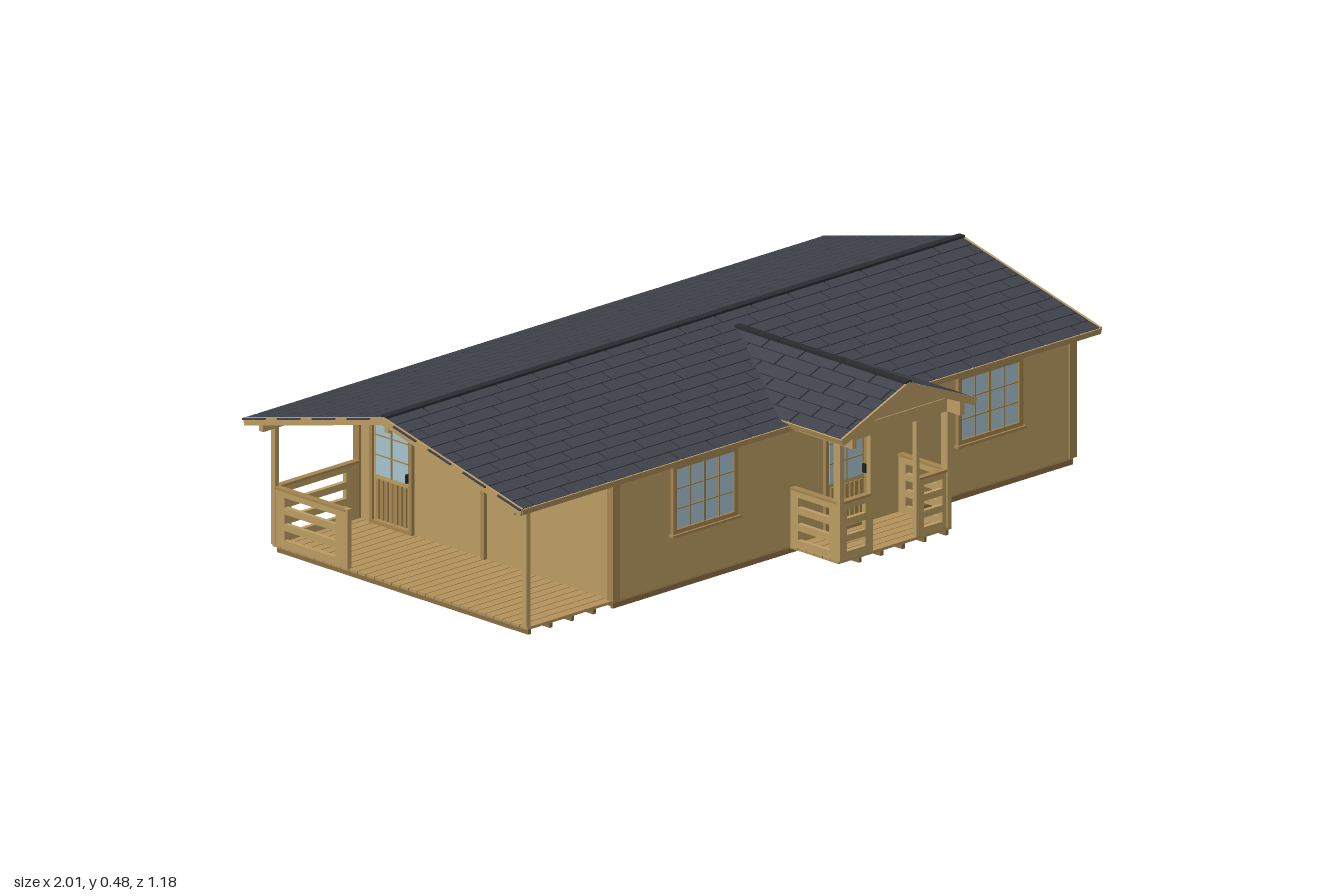
import * as THREE from 'three';
import { mergeGeometries } from 'three/addons/utils/BufferGeometryUtils.js';

const mat = (color) => new THREE.MeshStandardMaterial({ color });
const WOOD = mat(0xbd9e64), TRIM = mat(0xa5864f), DECK = mat(0xb5945c), JOIST = mat(0x8a6f42);
const TILE = mat(0x3f424a), UNDER = mat(0x2a2c31), GLASS = mat(0xa8c5d1), METAL = mat(0x222222);

function add(parent, name, geo, material) {
  const m = new THREE.Mesh(geo, material);
  m.name = name;
  parent.add(m);
  return m;
}

// Box geometry given by its limits
function span(x0, x1, y0, y1, z0, z1) {
  return new THREE.BoxGeometry(x1 - x0, y1 - y0, z1 - z0)
    .translate((x0 + x1) / 2, (y0 + y1) / 2, (z0 + z1) / 2);
}
const box = (parent, name, material, ...s) => add(parent, name, span(...s), material);

function polygon(points) {
  return new THREE.Shape(points.map(([x, y]) => new THREE.Vector2(x, y)));
}

const extrude = (shape, depth) =>
  new THREE.ExtrudeGeometry(shape, { depth, bevelEnabled: false });

function group(parent, name, x = 0, y = 0, z = 0, turn = 0) {
  const g = new THREE.Group();
  g.name = name;
  g.position.set(x, y, z);
  g.rotation.y = turn;
  parent.add(g);
  return g;
}

// Frame with glass and glazing bars, facing local +z, foot at y0
function glazing(g, x0, x1, y0, y1, cols, rows) {
  box(g, 'glass', GLASS, x0, x1, y0, y1, 0, 0.004);
  const bars = [];
  for (let i = 1; i < cols; i++) {
    const x = x0 + (x1 - x0) * i / cols, r = cols === 4 && i === 2 ? 0.004 : 0.0015;
    bars.push(span(x - r, x + r, y0, y1, 0, 0.007));
  }
  for (let i = 1; i < rows; i++) {
    const y = y0 + (y1 - y0) * i / rows;
    bars.push(span(x0, x1, y - 0.0015, y + 0.0015, 0, 0.0065));
  }
  add(g, 'glazingBars', mergeGeometries(bars), TRIM);
}

function frame(g, w, y0, y1, t) {
  add(g, 'frame', mergeGeometries([
    span(-w, -w + t, y0, y1, 0, 0.01), span(w - t, w, y0, y1, 0, 0.01),
    span(-w + t, w - t, y1 - t, y1, 0, 0.01), span(-w + t, w - t, y0, y0 + t, 0, 0.01),
  ]), TRIM);
}

function addWindow(parent, x, z, turn, width, cols) {
  const g = group(parent, 'window', x, 0, z, turn), w = width / 2;
  frame(g, w, 0.146, 0.33, 0.013);
  glazing(g, -w + 0.013, w - 0.013, 0.159, 0.317, cols, 3);
  box(g, 'sill', TRIM, -w - 0.006, w + 0.006, 0.141, 0.148, 0, 0.016);
}

function addDoor(parent, x, z, turn, width, leaves) {
  const g = group(parent, leaves > 1 ? 'doubleDoor' : 'door', x, 0, z, turn), w = width / 2;
  frame(g, w, 0.02, 0.325, 0.01);
  const leafW = (width - 0.02) / leaves;
  for (let i = 0; i < leaves; i++) {
    const a = -w + 0.01 + i * leafW, b = a + leafW;
    box(g, 'doorLeaf', WOOD, a + 0.001, b - 0.001, 0.03, 0.315, 0, 0.003);
    glazing(g, a + 0.008, b - 0.008, 0.15, 0.307, 2, 3);
    const n = Math.round(leafW / 0.019), slats = [];
    for (let k = 0; k < n; k++) {
      const sx = a + 0.008 + (leafW - 0.016) * (k + 0.5) / n;
      slats.push(span(sx - 0.005, sx + 0.005, 0.036, 0.14, 0, 0.008));
    }
    add(g, 'doorSlats', mergeGeometries(slats), TRIM);
  }
  const hx = leaves > 1 ? 0.007 : w - 0.016;
  box(g, 'handle', METAL, hx - 0.003, hx + 0.003, 0.155, 0.178, 0, 0.014);
}

// Railing with three slots, running along local x and centred on z
function addRailing(parent, x, z, turn, length, margin) {
  const g = group(parent, 'railing', x, 0, z, turn), l = length / 2, m = l - margin;
  const shape = polygon([[-l, 0.02], [l, 0.02], [l, 0.17], [-l, 0.17]]);
  for (const y of [0.04, 0.083, 0.126]) {
    shape.holes.push(polygon([[-m, y], [-m, y + 0.025], [m, y + 0.025], [m, y]]));
  }
  add(g, 'railingPanel', extrude(shape, 0.012).translate(0, 0, -0.006), WOOD);
  box(g, 'handrail', TRIM, -l, l, 0.167, 0.173, -0.009, 0.009);
}

// Gable roof with its ridge along local x; valley(s) is where a slope begins
function addRoof(parent, name, x0, x1, run, drop, valley) {
  const roof = group(parent, name), a = Math.atan2(drop, run), S = Math.hypot(run, drop);
  for (const side of [1, -1]) {
    const slope = group(roof, 'roofSlope');
    slope.rotation.x = side * a;
    const shape = polygon([[valley(0), 0], [x1, 0], [x1, -side * S], [valley(S), -side * S]]);
    add(slope, 'roofDeck', extrude(shape, 0.011).rotateX(-Math.PI / 2).translate(0, -0.013, 0), UNDER);
    // Staggered shingle courses
    const rows = Math.round(S / 0.042), step = S / rows, tabs = [];
    for (let r = 0; r < rows; r++) {
      const s0 = side * (r * step + 0.0015), s1 = side * ((r + 1) * step - 0.0015);
      for (let x = x0 - [0, 0.042, 0.084][r % 3]; x < x1; x += 0.126) {
        const from = Math.max(x + 0.003, valley(r * step) - 0.01), to = Math.min(x + 0.123, x1);
        if (to - from < 0.004) continue;
        tabs.push(span(from, to, -0.003, 0.001, Math.min(s0, s1), Math.max(s0, s1)));
      }
    }
    add(slope, 'shingles', mergeGeometries(tabs), TILE);
    // Edge boards
    const za = side > 0 ? 0 : -S, zb = side > 0 ? S : 0;
    const ends = valley(S) > x0 ? [x1] : [x0, x1];
    for (const e of ends) box(slope, 'rakeBoard', WOOD, e - 0.005, e + 0.001, -0.018, 0.002, za, zb);
    const ze = side * S;
    box(slope, 'eaveBoard', WOOD, valley(S), x1, -0.016, 0, ze - 0.003, ze + 0.002);
  }
  box(roof, 'ridgeCap', UNDER, x0, x1, -0.004, 0.005, -0.01, 0.01);
  return roof;
}

export function createModel() {
  const house = new THREE.Group();
  house.name = 'house';

  // Floor joists and deck boards
  const joists = [], boards = [];
  for (let i = 0; i <= 25; i++) {
    const x = -0.94 + i * 0.0748, porch = x > -0.04 && x < 0.35;
    joists.push(span(x, x + 0.01, 0, 0.016, -0.535, porch ? 0.53 : 0.355));
  }
  for (let i = 0; i < 30; i++) {
    const z = -0.545 + i * 0.0302;
    boards.push(span(-0.945, 0.94, 0.014, 0.021, z, z + 0.0275));
  }
  for (let i = 0; i < 6; i++) {
    const z = 0.361 + i * 0.029;
    boards.push(span(-0.04, 0.35, 0.014, 0.021, z, z + 0.0265));
  }
  add(house, 'joists', mergeGeometries(joists), JOIST);
  add(house, 'deckBoards', mergeGeometries(boards), DECK);
  box(house, 'frontPlinth', JOIST, -0.65, 0.94, 0, 0.02, 0.35, 0.358);
  box(house, 'backPlinth', JOIST, -0.65, 0.94, 0, 0.02, -0.543, -0.535);

  // Main body with gable ends; profile runs along -z
  const body = polygon([[-0.36, 0.02], [0.545, 0.02], [0.545, 0.348], [0.095, 0.457], [-0.36, 0.347]]);
  add(house, 'walls', extrude(body, 1.59).rotateY(Math.PI / 2).translate(-0.65, 0, 0), WOOD);

  // Corner and joint boards
  for (const x of [-0.645, 0.935]) {
    for (const z of [0.355, -0.545]) {
      box(house, 'cornerBoard', TRIM, x - 0.012, x + 0.012, 0.02, 0.345, z - 0.011, z + 0.011);
    }
  }
  for (const x of [0.34, -0.045]) box(house, 'jointBoard', TRIM, x - 0.006, x + 0.006, 0.02, 0.345, -0.555, -0.54);
  for (const x of [-0.65, 0.94]) box(house, 'gableJointBoard', TRIM, x - 0.01, x + 0.01, 0.02, 0.455, -0.1, -0.088);

  // Windows and doors
  const R = Math.PI / 2;
  for (const x of [-0.34, 0.645]) addWindow(house, x, 0.36, 0, 0.225, 4);
  for (const z of [0.13, -0.31]) addWindow(house, 0.94, z, R, 0.23, 4);
  addWindow(house, 0.64, -0.545, Math.PI, 0.23, 4);
  addWindow(house, 0.145, -0.545, Math.PI, 0.12, 2);
  addDoor(house, 0.15, 0.36, 0, 0.15, 1);
  addDoor(house, -0.345, -0.545, Math.PI, 0.26, 2);
  addDoor(house, -0.65, -0.42, -R, 0.15, 1);

  // Open veranda at the end
  for (const z of [0.35, -0.54]) {
    box(house, 'verandaPost', WOOD, -0.948, -0.934, 0.02, 0.345, z - 0.007, z + 0.007);
    box(house, 'eaveBeam', WOOD, -0.99, -0.65, 0.325, 0.347, z - 0.007, z + 0.007);
  }
  addRailing(house, -0.795, -0.54, 0, 0.28, 0.045);
  addRailing(house, -0.941, -0.41, R, 0.25, 0.035);
  box(house, 'railingPost', WOOD, -0.948, -0.934, 0.02, 0.175, -0.29, -0.276);
  box(house, 'ridgeBeam', WOOD, -0.99, -0.65, 0.43, 0.455, -0.102, -0.088);

  // Front porch
  const porch = group(house, 'porch', 0.155);
  for (const s of [1, -1]) {
    box(porch, 'cornerPost', WOOD, s * 0.186 - 0.007, s * 0.186 + 0.007, 0.02, 0.36, 0.512, 0.535);
    box(porch, 'entryPost', WOOD, s * 0.08 - 0.005, s * 0.08 + 0.005, 0.02, 0.33, 0.518, 0.532);
    addRailing(porch, s * 0.133, 0.526, 0, 0.1, 0.018);
    addRailing(porch, s * 0.186, 0.44, R, 0.16, 0.025);
    box(porch, 'sideBeam', WOOD, s * 0.186 - 0.007, s * 0.186 + 0.007, 0.325, 0.36, 0.36, 0.58);
  }
  box(porch, 'frontBeam', WOOD, -0.193, 0.193, 0.325, 0.36, 0.518, 0.533);
  add(porch, 'porchGable',
    extrude(polygon([[-0.2, 0.352], [0.2, 0.352], [0, 0.438]]), 0.012).translate(0, 0, 0.518), WOOD);

  // Roofs
  const mainRoof = addRoof(house, 'mainRoof', -1, 1, 0.493, 0.12, () => -1);
  mainRoof.position.set(0, 0.472, -0.095);
  const porchRoof = addRoof(house, 'porchRoof', -0.025, 0.585, 0.232, 0.095, (s) => -0.025 + 1.56 * s);
  porchRoof.position.set(0.153, 0.455, 0);
  porchRoof.rotation.y = -R;

  return house;
}
